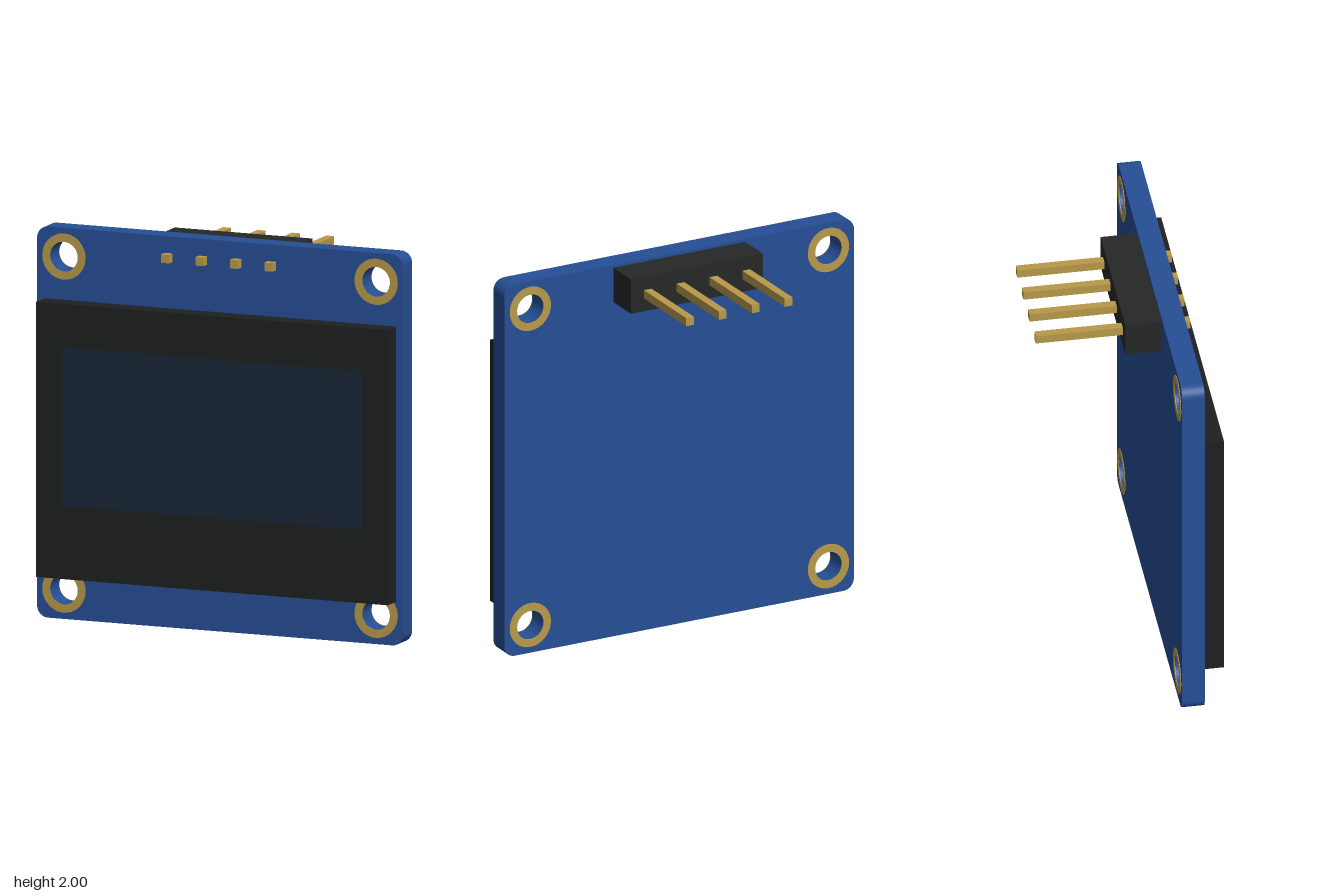
import * as THREE from 'three';

const BACK = 0.203, FRONT = 0.318; // board faces along z
const HOLE_X = 0.853, HOLE_LOW = 0.15, HOLE_HIGH = 1.853, HOLE_R = 0.076;

const material = (color) => new THREE.MeshStandardMaterial({ color });
const blue = material(0x264f96);
const black = material(0x1e1f20);
const glass = material(0x172736);
const headerBlack = material(0x262828);
const gold = material(0xb99a4a);

function roundedRect(x0, y0, x1, y1, r) {
  const s = new THREE.Shape();
  s.absarc(x1 - r, y0 + r, r, -Math.PI / 2, 0);
  s.absarc(x1 - r, y1 - r, r, 0, Math.PI / 2);
  s.absarc(x0 + r, y1 - r, r, Math.PI / 2, Math.PI);
  s.absarc(x0 + r, y0 + r, r, Math.PI, Math.PI * 1.5);
  s.closePath();
  return s;
}

function circleHole(x, y, r) {
  return new THREE.Path().absarc(x, y, r, 0, Math.PI * 2, true);
}

export function createModel() {
  const model = new THREE.Group();
  model.name = 'displayModule';

  const add = (name, geometry, mat) => {
    const mesh = new THREE.Mesh(geometry, mat);
    mesh.name = name;
    model.add(mesh);
    return mesh;
  };
  // Box given by its limits on each axis
  const addBox = (name, mat, [x0, x1], [y0, y1], [z0, z1]) =>
    add(name, new THREE.BoxGeometry(x1 - x0, y1 - y0, z1 - z0), mat)
      .position.set((x0 + x1) / 2, (y0 + y1) / 2, (z0 + z1) / 2);

  const holes = [];
  for (const x of [-HOLE_X, HOLE_X])
    for (const y of [HOLE_LOW, HOLE_HIGH]) holes.push([x, y]);

  // Circuit board with rounded corners and four mounting holes
  const outline = roundedRect(-1, 0, 1, 2, 0.06);
  for (const [x, y] of holes) outline.holes.push(circleHole(x, y, HOLE_R));
  add('circuitBoard', new THREE.ExtrudeGeometry(outline, {
    depth: FRONT - BACK, bevelEnabled: false, curveSegments: 16,
  }), blue).position.z = BACK;

  // Gold pads around the holes, on both faces
  const ring = new THREE.Shape().absarc(0, 0, 0.118, 0, Math.PI * 2);
  ring.holes.push(circleHole(0, 0, HOLE_R));
  const padGeometry = new THREE.ExtrudeGeometry(ring, {
    depth: 0.004, bevelEnabled: false, curveSegments: 16,
  });
  for (const [x, y] of holes) {
    add('frontPad', padGeometry, gold).position.set(x, y, FRONT - 0.001);
    add('backPad', padGeometry, gold).position.set(x, y, BACK - 0.003);
  }

  // Display panel and its active area
  addBox('displayPanel', black, [-0.962, 0.962], [0.225, 1.632], [FRONT, 0.423]);
  addBox('activeArea', glass, [-0.82, 0.82], [0.6, 1.41], [0.415, 0.427]);

  // Pin header behind the top edge, with pins passing through the board
  addBox('pinHeader', headerBlack, [-0.377, 0.377], [1.8, 1.985], [0.017, BACK]);
  for (let i = 0; i < 4; i++) {
    const x = (i - 1.5) * 0.188;
    addBox('pin', gold, [x - 0.022, x + 0.022], [1.87, 1.914], [-0.427, 0.361]);
  }
  return model;
}
